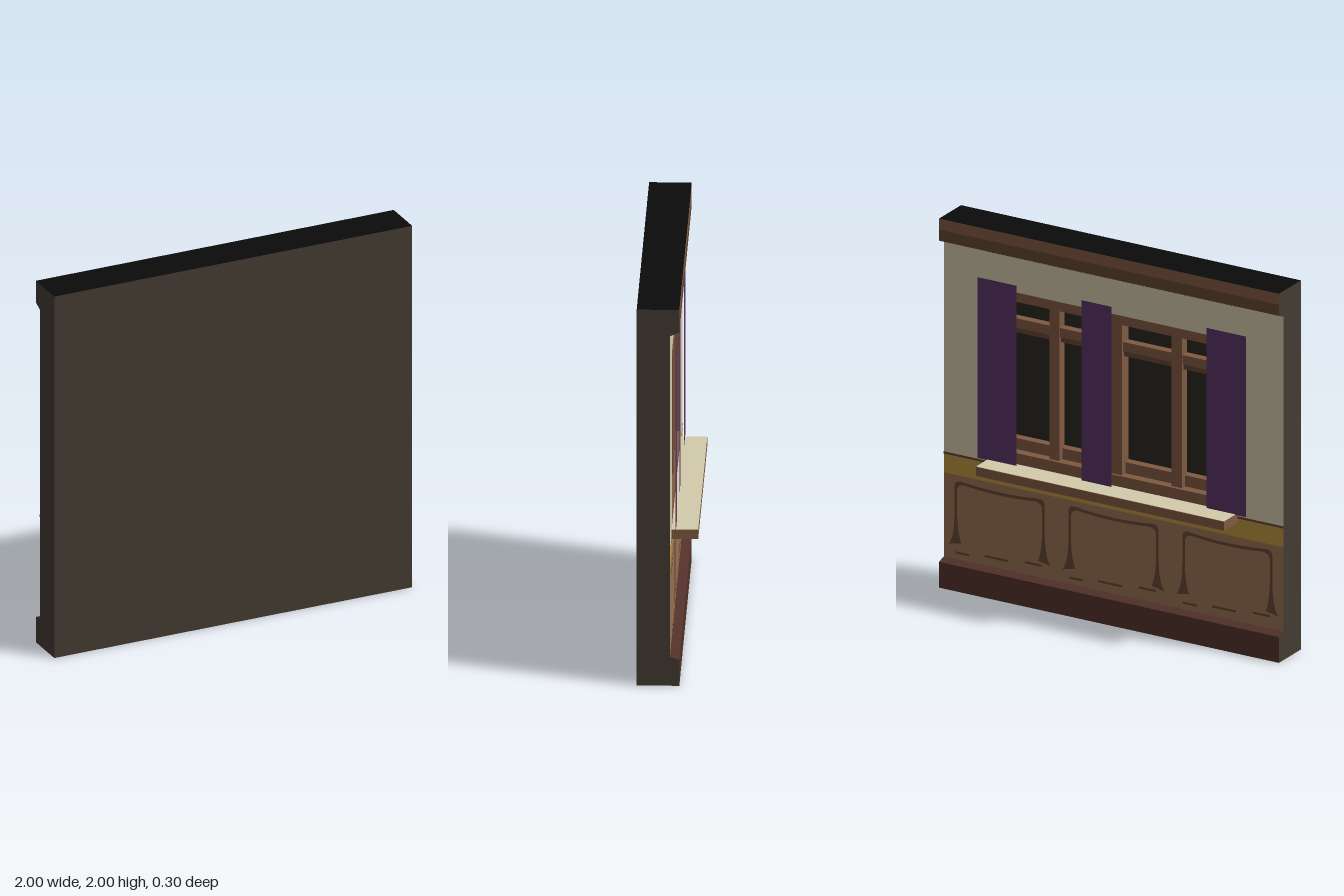
import * as THREE from 'three';

const mat = (name, color) => {
  const m = new THREE.MeshStandardMaterial({ color, side: THREE.DoubleSide });
  m.name = name;
  return m;
};

export function createModel() {
  const M = {
    exterior: mat('dark exterior', 0x443b32),
    black: mat('black top', 0x0b0b0b),
    cream: mat('cream plaster', 0xd4cbab),
    purple: mat('purple cloth', 0x5a3365),
    yellow: mat('ochre band', 0xbb943e),
    panel: mat('light wood', 0x997052),
    stain: mat('dark wood', 0x624530),
    base: mat('red brown wood', 0x52312a),
    wood: mat('window wood', 0x805a41),
    glass: mat('dark glass', 0x2b2721),
  };
  const root = new THREE.Group();
  const add = (name, geo, material, parent = root) => {
    const m = new THREE.Mesh(geo, material);
    m.name = name;
    parent.add(m);
    return m;
  };
  const box = (name, x0, x1, y0, y1, z0, z1, material) => {
    const g = new THREE.BoxGeometry(x1 - x0, y1 - y0, z1 - z0);
    g.translate((x0 + x1) / 2, (y0 + y1) / 2, (z0 + z1) / 2);
    return add(name, g, material);
  };
  // Flat strip running along x between two (y, z) points
  const strip = (name, [ya, za], [yb, zb], material, w = 1) => {
    const g = new THREE.BufferGeometry();
    g.setAttribute('position', new THREE.Float32BufferAttribute(
      [-w, ya, za, w, ya, za, w, yb, zb, -w, yb, zb], 3));
    g.setIndex([0, 1, 2, 0, 2, 3]);
    g.computeVertexNormals();
    return add(name, g, material);
  };
  // Flat plate facing the room side (-z)
  const plate = (name, x0, x1, y0, y1, z, material) => {
    const g = new THREE.PlaneGeometry(x1 - x0, y1 - y0).rotateY(Math.PI);
    g.translate((x0 + x1) / 2, (y0 + y1) / 2, z);
    return add(name, g, material);
  };

  // Wall section: up the front, over the top, down the moulded back
  const F = 0.15, W = -0.018, P = -0.065;
  const profile = [
    [0, F], [2, F], [2, P], [1.94, P], [1.88, P], [1.86, W],
    [0.715, W], [0.61, W], [0.155, W], [0.14, P], [0, P], [0, F],
  ];
  const faces = [
    ['frontFace', M.exterior], ['topFace', M.black], ['corniceUpper', M.wood],
    ['corniceLower', M.stain], ['corniceUnderside', M.wood], null,
    ['ochreBand', M.yellow], ['wainscot', M.panel], ['baseboardLip', M.base],
    ['baseboard', M.base], ['bottomFace', M.exterior],
  ];
  faces.forEach((f, i) => f && strip(f[0], profile[i], profile[i + 1], f[1]));

  // End faces
  const section = new THREE.Shape(profile.slice(0, -1).map(([y, z]) => new THREE.Vector2(-z, y)));
  for (const s of [-1, 1]) {
    const end = new THREE.ShapeGeometry(section).rotateY(Math.PI / 2);
    add(s > 0 ? 'leftEnd' : 'rightEnd', end, M.exterior).position.x = s;
  }

  // Plaster wall with the window opening
  const OX = 0.69, OY0 = 0.74, OY1 = 1.67, G = 0.075;
  const rect = (C, x, y0, y1) => new C([[-x, y0], [x, y0], [x, y1], [-x, y1]]
    .map(([a, b]) => new THREE.Vector2(a, b)));
  const plaster = rect(THREE.Shape, 1, 0.715, 1.86);
  plaster.holes.push(rect(THREE.Path, OX, OY0, OY1));
  add('plasterWall', new THREE.ShapeGeometry(plaster).rotateY(Math.PI), M.cream).position.z = W;
  plate('bandEdge', -1, 1, 0.712, 0.724, W - 0.002, M.stain);
  strip('corniceGap', [1.877, -0.062], [1.868, -0.041], M.black, 0.73);

  // Window: glass, outer frame, posts and bars
  plate('glass', -OX, OX, OY0, OY1, G, M.glass);
  box('frameHead', -OX, OX, 1.62, OY1, W, G, M.wood);
  box('frameFoot', -OX, OX, OY0, 0.8, W, G, M.wood);
  box('bottomRail', -OX, OX, 0.8, 0.86, 0.03, G, M.wood);
  for (const s of [-1, 1]) {
    box('frameSide', s * 0.665 - 0.025, s * 0.665 + 0.025, OY0, OY1, W, G, M.wood);
    box('mullion', s * 0.36 - 0.03, s * 0.36 + 0.03, OY0, OY1, 0, 0.05, M.wood);
    box('transom', s * 0.345 - 0.32, s * 0.345 + 0.32, 1.47, 1.52, 0.005, 0.05, M.wood);
    box('transomShadowBar', s * 0.345 - 0.32, s * 0.345 + 0.32, 1.44, 1.47, 0.015, 0.05, M.stain);
  }
  box('centrePost', -0.04, 0.04, OY0, OY1, -0.005, 0.06, M.wood);

  // Sill with a pale top
  box('sill', -0.73, 0.73, 0.69, 0.738, -0.152, W, M.wood);
  strip('sillTop', [0.741, W], [0.741, -0.152], M.cream, 0.73);

  // Hanging cloth panels
  for (const [x0, x1] of [[0.558, 0.79], [0, 0.177], [-0.79, -0.558]])
    plate('curtain', x0, x1, 0.738, 1.717, -0.04, M.purple);

  // Painted wainscot panels: thin arch outlines that widen toward the foot
  const arch = new THREE.Shape();
  arch.moveTo(-0.3, 0.23);
  arch.quadraticCurveTo(-0.265, 0.27, -0.265, 0.42);
  arch.lineTo(-0.265, 0.55);
  arch.quadraticCurveTo(-0.265, 0.585, -0.22, 0.58);
  arch.quadraticCurveTo(0, 0.555, 0.22, 0.58);
  arch.quadraticCurveTo(0.265, 0.585, 0.265, 0.55);
  arch.lineTo(0.265, 0.42);
  arch.quadraticCurveTo(0.265, 0.27, 0.3, 0.23);
  arch.lineTo(0.225, 0.245);
  arch.quadraticCurveTo(0.25, 0.3, 0.25, 0.42);
  arch.lineTo(0.25, 0.53);
  arch.quadraticCurveTo(0.245, 0.565, 0.2, 0.562);
  arch.quadraticCurveTo(0, 0.54, -0.2, 0.562);
  arch.quadraticCurveTo(-0.245, 0.565, -0.25, 0.53);
  arch.lineTo(-0.25, 0.42);
  arch.quadraticCurveTo(-0.25, 0.3, -0.225, 0.245);
  const archGeo = new THREE.ShapeGeometry(arch).rotateY(Math.PI);
  for (const x of [-0.67, 0, 0.67]) {
    add('panelOutline', archGeo, M.stain).position.set(x, 0, W - 0.003);
    // Grain dashes above the baseboard
    [[-0.2, 0.1, 0.215], [0.02, 0.14, 0.2], [0.22, 0.08, 0.185]].forEach(([dx, w, y]) =>
      plate('grainDash', x + dx - w / 2, x + dx + w / 2, y, y + 0.012, W - 0.003, M.stain));
  }
  return root;
}
